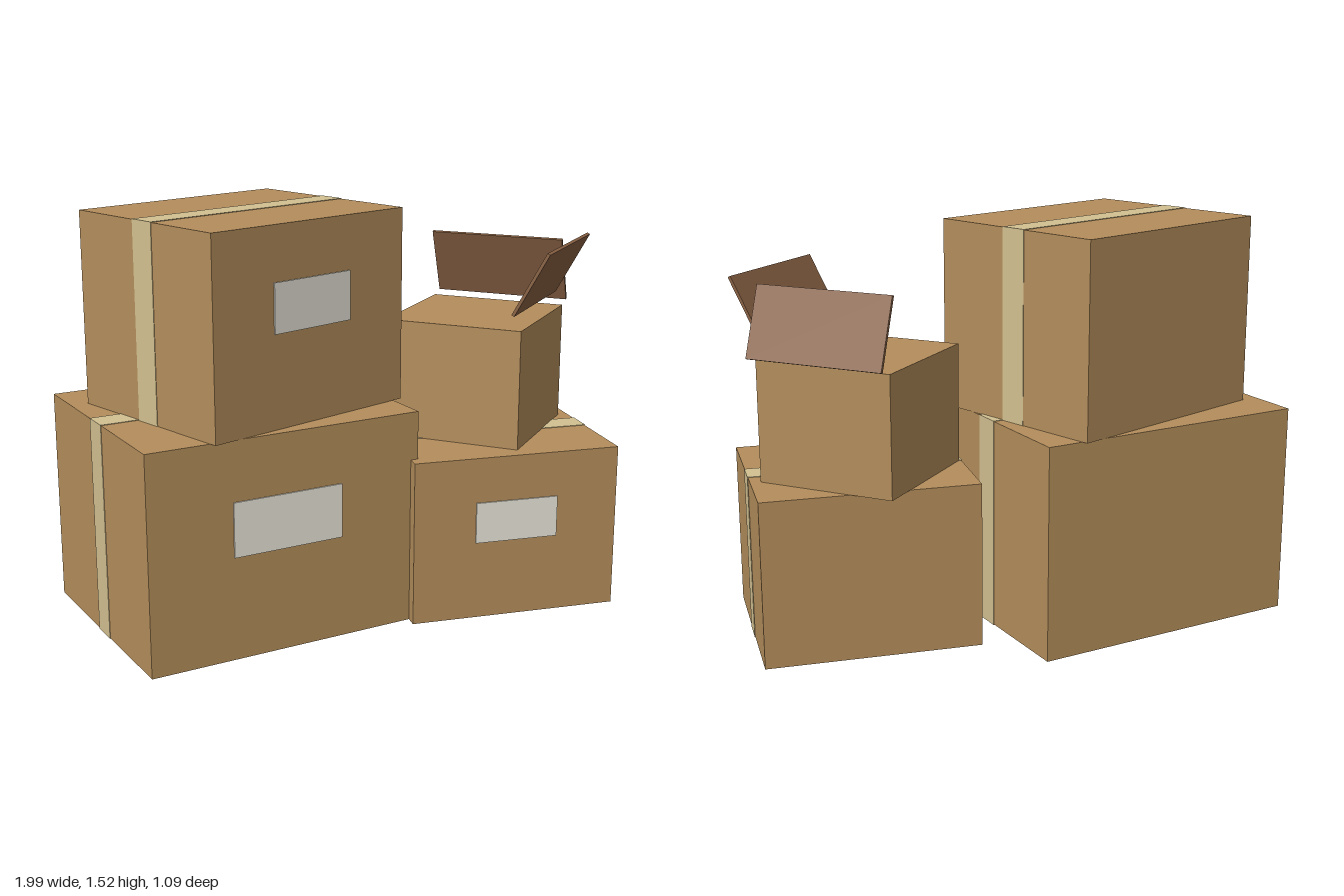
import * as THREE from 'three';

const material = (name, color) => {
  const m = new THREE.MeshStandardMaterial({ color });
  m.name = name;
  return m;
};

export function createModel() {
  const cardboard = material('cardboard', 0xb38d5b);
  const flapBrown = material('flapBrown', 0x8a6244);
  const tapeBeige = material('tapeBeige', 0xd2c090);
  const labelWhite = material('labelWhite', 0xf0ede0);

  const model = new THREE.Group();
  model.name = 'cardboardBoxes';

  const block = (parent, name, mat, [w, h, d], [x, y, z]) => {
    const mesh = new THREE.Mesh(new THREE.BoxGeometry(w, h, d), mat);
    mesh.name = name;
    mesh.position.set(x, y, z);
    parent.add(mesh);
    return mesh;
  };

  // A carton standing on its own base, turned about y
  const carton = (name, [w, h, d], [x, y, z], turn) => {
    const group = new THREE.Group();
    group.name = name;
    group.position.set(x, y, z);
    group.rotation.y = turn;
    block(group, name + 'Body', cardboard, [w, h, d], [0, h / 2, 0]);
    model.add(group);
    return group;
  };

  // Closed cartons: a tape band round top, ends and bottom, and a front label
  const closed = [
    ['largeBox', [1.063, 0.803, 0.887], [-0.437, 0.002, -0.055], 0.07],
    ['upperBox', [0.882, 0.713, 0.746], [-0.385, 0.805, -0.056], 0.314],
    ['mediumBox', [0.8, 0.623, 0.708], [0.541, 0.002, 0.121], -0.1745],
  ];
  for (const [name, size, position, turn] of closed) {
    const [w, h, d] = size;
    const group = carton(name, size, position, turn);
    block(group, name + 'Tape', tapeBeige, [w + 0.004, h + 0.004, 0.106], [0, h / 2, 0]);
    block(group, name + 'Label', labelWhite, [w * 0.4, h * 0.25, 0.008], [0, h * 0.6, d / 2 + 0.001]);
  }

  // Small carton with two raised flaps
  const small = carton('smallBox', [0.535, 0.45, 0.535], [0.54, 0.625, 0.037], 0.703);
  const frontFlap = block(small, 'frontFlap', flapBrown, [0.535, 0.267, 0.012], [0, 0.6225, 0.298]);
  frontFlap.rotation.x = 0.498;
  const sideFlap = block(small, 'sideFlap', flapBrown, [0.012, 0.266, 0.535], [0.278, 0.59, 0]);
  sideFlap.rotation.z = 0.349;

  return model;
}
